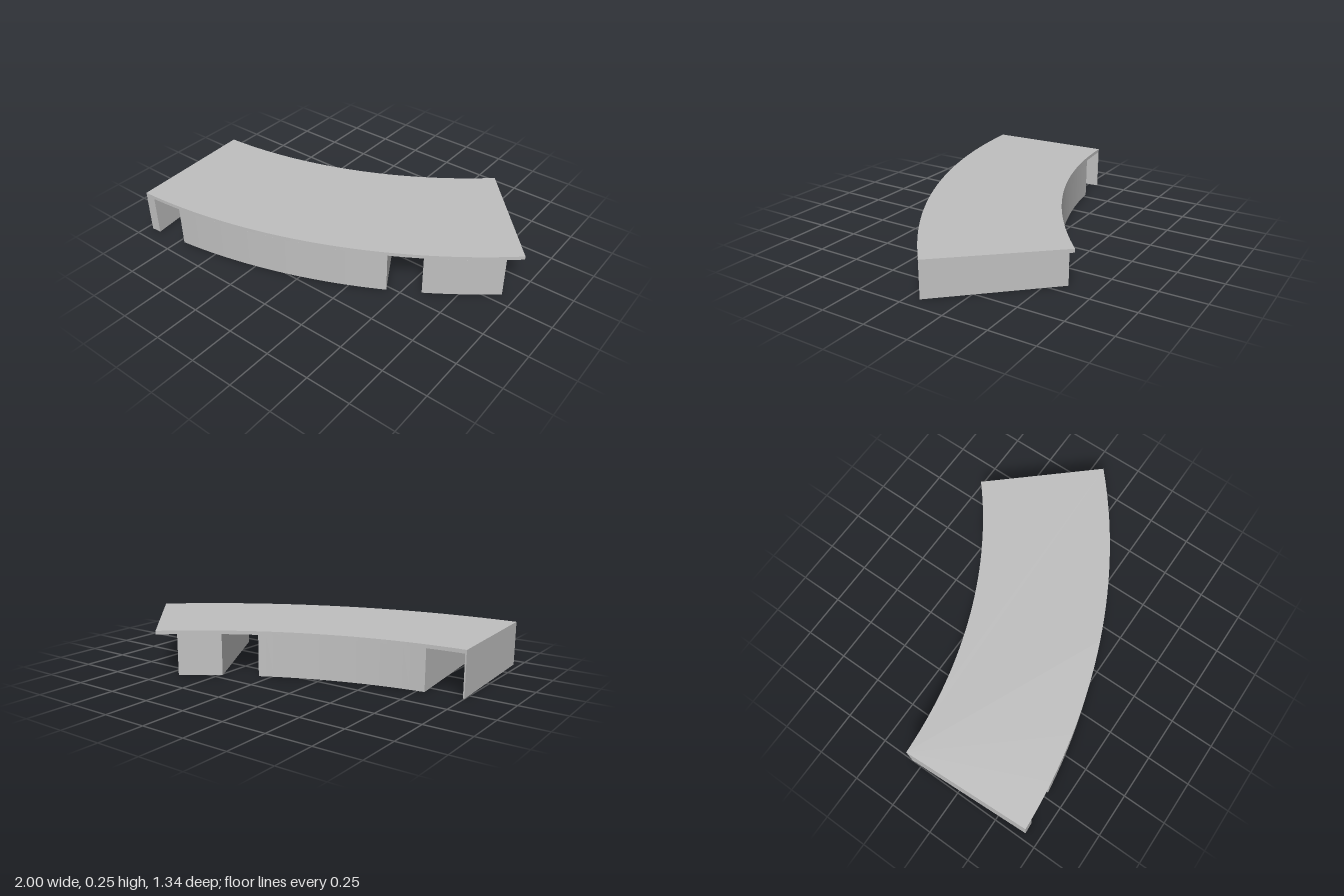
import * as THREE from 'three';

// Centre and radii of the curved plan
const CX = -1.119, CZ = -2.525, INNER = 2.47, OUTER = 3.2;

// Angle on a circle of radius r at a given x, measured from +z toward +x
const angleAt = (x, r) => Math.asin((x - CX) / r);

// Points along an arc between two x positions
function arc(r, x0, x1, steps) {
  const a0 = angleAt(x0, r), a1 = angleAt(x1, r), pts = [];
  for (let i = 0; i <= steps; i++) {
    const a = a0 + (a1 - a0) * i / steps;
    pts.push(new THREE.Vector2(CX + r * Math.sin(a), CZ + r * Math.cos(a)));
  }
  return pts;
}

// Curved block between an inner arc and an outer arc, from y = bottom to y = top
function curvedBlock(name, inner, outer, bottom, top, steps, material) {
  const outline = [...arc(INNER, ...inner, steps), ...arc(OUTER, ...outer, steps).reverse()];
  const geometry = new THREE.ExtrudeGeometry(new THREE.Shape(outline), {
    depth: top - bottom, bevelEnabled: false,
  });
  geometry.rotateX(Math.PI / 2);
  geometry.translate(0, top, 0);
  const mesh = new THREE.Mesh(geometry, material);
  mesh.name = name;
  return mesh;
}

export function createModel() {
  const group = new THREE.Group();
  group.name = 'curvedCounter';
  const grey = new THREE.MeshStandardMaterial({ color: 0xc0c0c0 });
  grey.name = 'grey';

  group.add(
    // Thin top slab over the whole arc
    curvedBlock('topSlab', [-1, 0.515], [-0.965, 1], 0.23, 0.25, 32, grey),
    // Tapered end wall, long middle block and short end block, with straight gaps between
    curvedBlock('endWall', [-1, -0.992], [-0.965, -0.906], 0, 0.23, 2, grey),
    curvedBlock('middleBlock', [-0.79, 0.065], [-0.72, 0.43], 0, 0.23, 22, grey),
    curvedBlock('endBlock', [0.235, 0.428], [0.59, 0.93], 0, 0.23, 8, grey),
  );
  return group;
}
